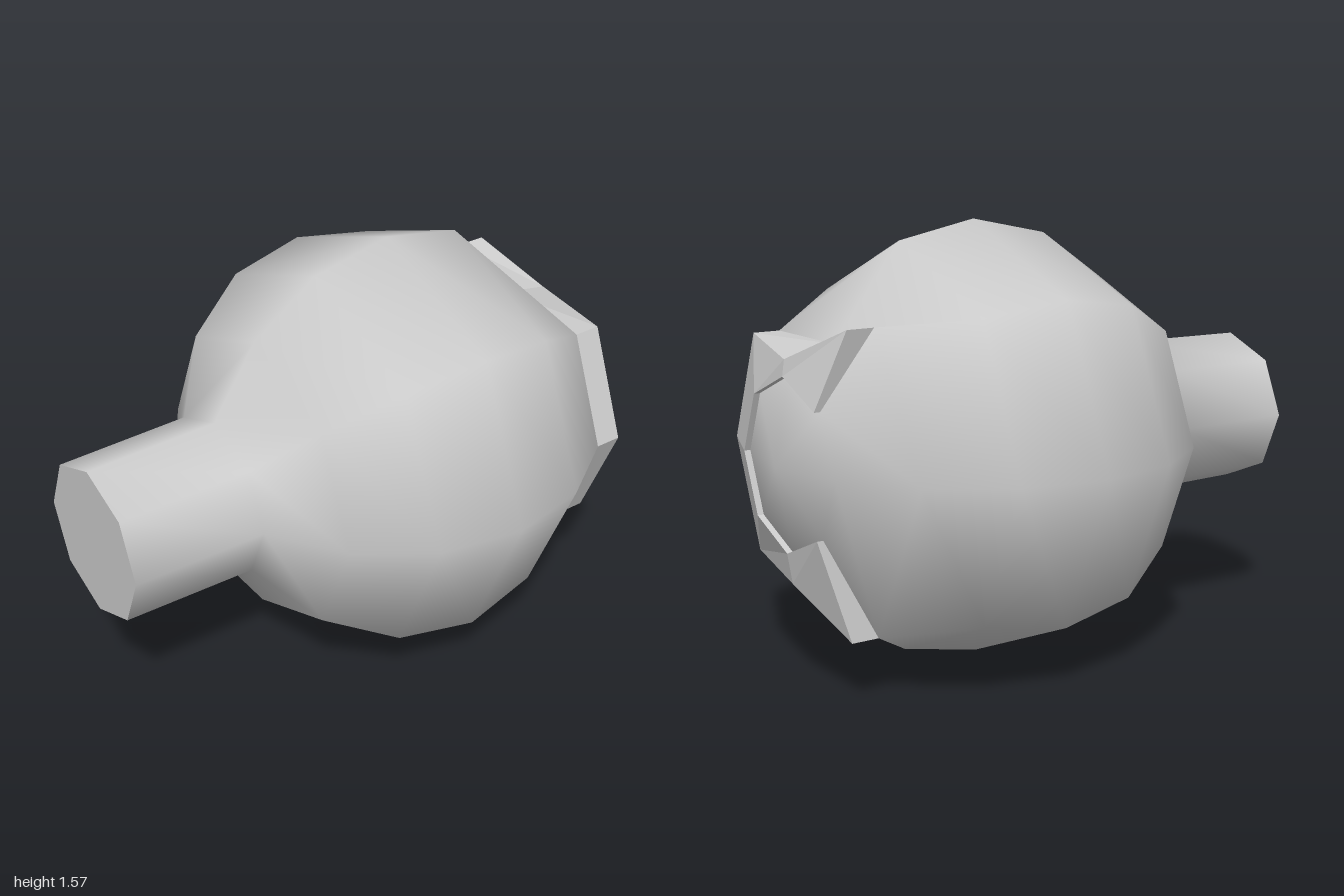
import * as THREE from 'three';

const SIDES = 8, CY = 0.783;

// Point on a ring around the x axis; step 0 faces +z, step 2 faces up
function ringPoint(x, r, step) {
  const a = step * Math.PI * 2 / SIDES;
  return [x, CY + r * Math.sin(a), r * Math.cos(a)];
}

// Joins rows of points: rows[i][j], i runs along x and j around the axis
function loft(rows, closed) {
  const n = rows[0].length, index = [];
  for (let i = 0; i < rows.length - 1; i++) {
    for (let j = 0; j < (closed ? n : n - 1); j++) {
      const k = (j + 1) % n;
      const a = i * n + j, b = a + n, c = b - j + k, d = i * n + k;
      index.push(a, b, d, b, c, d);
    }
  }
  return { positions: rows.flat(2), index };
}

function makeGeometry({ positions, index }) {
  const g = new THREE.BufferGeometry();
  g.setAttribute('position', new THREE.Float32BufferAttribute(positions, 3));
  g.setIndex(index);
  return g;
}

function addMesh(group, name, geometry, flatShading) {
  const material = new THREE.MeshStandardMaterial({ color: 0xcccccc, flatShading });
  const mesh = new THREE.Mesh(geometry, material);
  mesh.name = name;
  group.add(mesh);
  return mesh;
}

export function createModel() {
  const group = new THREE.Group();
  group.name = 'eyeball';
  const steps = [...Array(SIDES).keys()];

  // Iris seat: a ring pinched at top and bottom, with its rear corners pulled in
  const seat = {
    '0': [0.77, CY, 0.55],
    '1': [0.77, 1.175, 0.39], '-1': [0.77, 0.395, 0.39],
    '2': [0.77, 1.175, 0], '-2': [0.77, 0.33, 0],
    '3': [0.77, 1.26, -0.27], '-3': [0.77, 0.222, -0.265],
    '4': [0.77, CY, -0.55],
  };

  // Stalk, ball and pupil as one smooth skin
  const profile = [[-1, 0.285], [-0.51, 0.292], [-0.34, 0.552], [-0.09, 0.722],
    [0.21, 0.783], [0.51, 0.722], null, [0.94, 0.3]];
  const rows = profile.map(p => steps.map(s =>
    p ? ringPoint(p[0], p[1], s) : seat[s > 4 ? s - 8 : s]));
  const skin = loft(rows, true);
  const last = (rows.length - 1) * SIDES, tip = rows.length * SIDES;
  skin.positions.push(1, CY, 0);
  for (const s of steps) skin.index.push(last + s, tip, last + (s + 1) % SIDES);
  const body = makeGeometry(skin);
  body.computeVertexNormals();
  addMesh(group, 'ballAndStalk', body, false);

  // Flat end of the stalk
  const cap = addMesh(group, 'stalkEnd', new THREE.CircleGeometry(0.285, SIDES), true);
  cap.rotation.y = -Math.PI / 2;
  cap.position.set(-1, CY, 0);

  // Raised C-shaped iris, open toward the back
  const arc = [-3, -2, -1, 0, 1, 2, 3];
  const front = s => {
    const [, y, z] = seat[s];
    if (s === 2) return [0.955, 1.14, z];
    if (s === -2) return [0.945, 0.375, z];
    return [0.87, y, z];
  };
  const iris = loft([
    arc.map(s => seat[s]),
    arc.map(front),
    arc.map(s => ringPoint(0.963, 0.3, s)),
    arc.map(s => ringPoint(0.94, 0.3, s)),
  ], false);
  // Close both ends of the C
  const n = arc.length, e = n - 1;
  iris.index.push(e, e + n, e + 2 * n, e, e + 2 * n, e + 3 * n);
  iris.index.push(0, 2 * n, n, 0, 3 * n, 2 * n);
  const irisGeometry = makeGeometry(iris).toNonIndexed();
  irisGeometry.computeVertexNormals();
  addMesh(group, 'iris', irisGeometry, true);

  return group;
}
